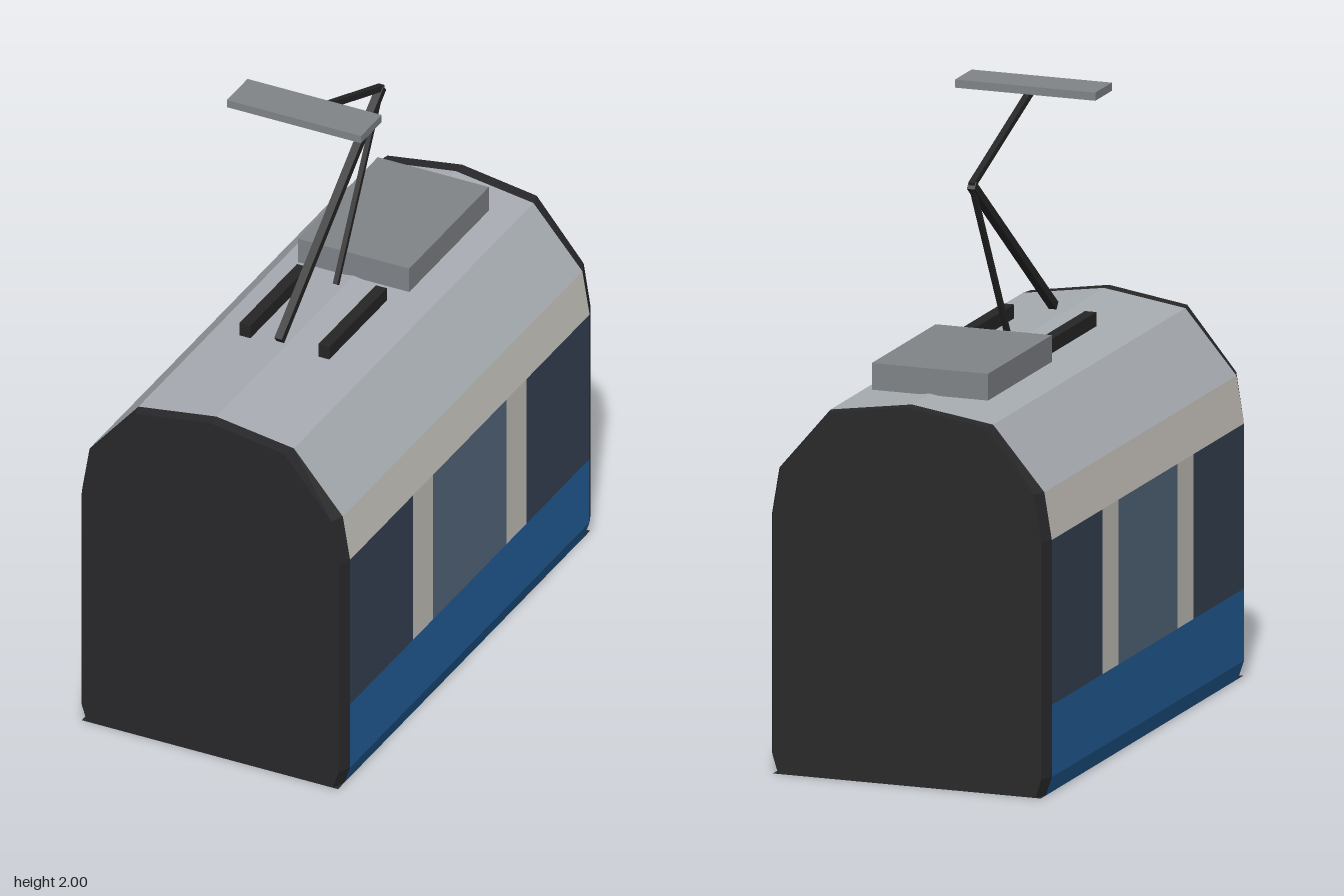
import * as THREE from 'three';

const mat = (color) => new THREE.MeshStandardMaterial({ color, flatShading: true });
const paint = {
  dark: mat(0x28282a), blue: mat(0x23609a), cream: mat(0xc8c5be), roof: mat(0xa8adb3),
  glass: mat(0x364354), door: mat(0x556a7f), metal: mat(0x808488), arm: mat(0x262626),
};

// Half cross-section of the car body, from sill to roof ridge
const SILL = [0.445, 0], SKIRT = [0.465, 0.06], BELT = [0.465, 0.29], HEAD = [0.465, 0.815],
  EAVE = [0.44, 0.965], SHOULDER = [0.27, 1.165], RIDGE = [0, 1.205];
const HALF = 0.812, END = 0.855, TAPER = 0.96;

// Four-cornered panel, corners anticlockwise seen from outside
function quad(a, b, c, d) {
  const g = new THREE.BufferGeometry();
  g.setAttribute('position', new THREE.Float32BufferAttribute([a, b, c, a, c, d].flat(), 3));
  g.computeVertexNormals();
  return g;
}

export function createModel() {
  const model = new THREE.Group();
  const add = (name, geometry, material, parent = model) => {
    const mesh = new THREE.Mesh(geometry, material);
    mesh.name = name;
    parent.add(mesh);
    return mesh;
  };

  // Strip of body skin between two profile points, from z0 (back) to z1 (front)
  const strip = (parent, name, lo, hi, z0, z1, material, side, frontScale = 1) => {
    const x = side, f = side * frontScale;
    const p = [[lo[0] * f, lo[1], z1], [lo[0] * x, lo[1], z0],
      [hi[0] * x, hi[1], z0], [hi[0] * f, hi[1], z1]];
    if (side < 0) p.reverse();
    add(name, quad(...p), material, parent);
  };

  // Side walls and roof
  for (const side of [1, -1]) {
    const wall = new THREE.Group();
    wall.name = side > 0 ? 'leftSide' : 'rightSide';
    model.add(wall);
    strip(wall, 'skirt', SILL, SKIRT, -HALF, HALF, paint.blue, side);
    strip(wall, 'lowerPanel', SKIRT, BELT, -HALF, HALF, paint.blue, side);
    const bays = [
      ['rearWindow', -HALF, -0.385, paint.glass], ['rearPillar', -0.385, -0.25, paint.cream],
      ['door', -0.25, 0.25, paint.door],
      ['frontPillar', 0.25, 0.385, paint.cream], ['frontWindow', 0.385, HALF, paint.glass],
    ];
    for (const [name, z0, z1, m] of bays) strip(wall, name, BELT, HEAD, z0, z1, m, side);
    strip(wall, 'upperBand', HEAD, EAVE, -HALF, HALF, paint.cream, side);
    strip(wall, 'roofSide', EAVE, SHOULDER, -HALF, HALF, paint.roof, side);
    strip(wall, 'roofTop', SHOULDER, RIDGE, -HALF, HALF, paint.roof, side);
  }

  // Dark tapered end walls
  const profile = [SILL, SKIRT, HEAD, EAVE, SHOULDER, RIDGE];
  const outline = [...profile, ...profile.slice(0, -1).reverse().map(([x, y]) => [-x, y])];
  const endShape = new THREE.Shape(outline.map(([x, y]) => new THREE.Vector2(x * TAPER, y)));
  for (const turn of [0, Math.PI]) {
    const end = new THREE.Group();
    end.name = turn ? 'rearEnd' : 'frontEnd';
    end.rotation.y = turn;
    model.add(end);
    add('endWall', new THREE.ShapeGeometry(endShape), paint.dark, end).position.z = END;
    for (const side of [1, -1]) {
      for (let i = 0; i < profile.length - 1; i++) {
        strip(end, 'endFrame', profile[i], profile[i + 1], HALF, END, paint.dark, side, TAPER);
      }
    }
  }

  // Floor
  const w = SILL[0];
  const floor = add('floor', quad([-w, 0, -END], [w, 0, -END], [w, 0, END], [-w, 0, END]), paint.dark);
  floor.material = paint.dark.clone();
  floor.material.side = THREE.DoubleSide;

  // Roof equipment
  const box = (name, size, pos, material, parent) =>
    add(name, new THREE.BoxGeometry(...size), material, parent).position.set(...pos);
  box('roofUnit', [0.386, 0.085, 0.54], [0, 1.2425, -0.39], paint.metal);

  // Current collector: rails, folding arms and contact head
  const collector = new THREE.Group();
  collector.name = 'currentCollector';
  model.add(collector);
  for (const side of [1, -1]) {
    box('baseRail', [0.038, 0.045, 0.39], [side * 0.137, 1.225, 0.155], paint.arm, collector);
  }
  const rod = (name, [z0, y0], [z1, y1], t) => {
    const length = Math.hypot(z1 - z0, y1 - y0);
    const mesh = add(name, new THREE.BoxGeometry(t, t, length), paint.arm, collector);
    mesh.position.set(0, (y0 + y1) / 2, (z0 + z1) / 2);
    mesh.rotation.x = -Math.atan2(y1 - y0, z1 - z0);
  };
  rod('lowerArm', [0.385, 1.247], [-0.307, 1.787], 0.026);
  rod('upperArm', [-0.307, 1.787], [0.21, 1.98], 0.02);
  rod('guideRod', [0, 1.24], [-0.295, 1.77], 0.016);
  box('contactHead', [0.466, 0.026, 0.14], [0, 1.987, 0.215], paint.metal, collector);

  return model;
}
